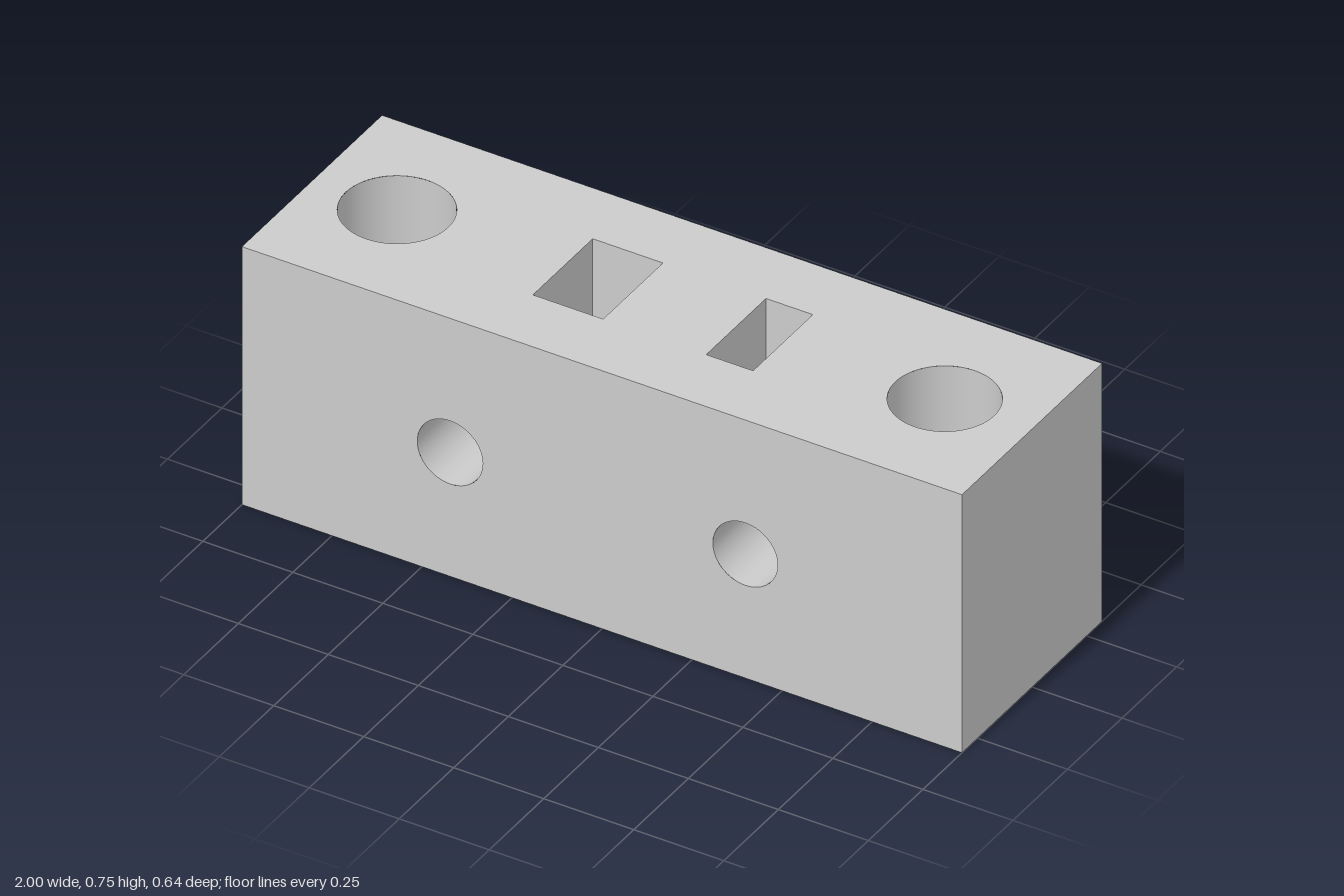
import * as THREE from 'three';

const W = 2, H = 0.745, D = 0.642, SEG = 64;
const material = new THREE.MeshStandardMaterial({ color: 0xcccccc });

function addMesh(group, name, geometry) {
  const mesh = new THREE.Mesh(geometry, material);
  mesh.name = name;
  group.add(mesh);
}

// Reverse the winding of an indexed geometry
function flip(geometry) {
  geometry.index.array.reverse();
  return geometry;
}

function rectangle(PathType, x, y, w, h) {
  return new PathType([[-1, -1], [1, -1], [1, 1], [-1, 1]]
    .map(([a, b]) => new THREE.Vector2(x + a * w / 2, y + b * h / 2)));
}

// Opposite pair of faces (normals +z and -z) joined by the bores through them
function drilledPair(name, height, depth, holes) {
  const group = new THREE.Group();
  group.name = name;
  const shape = rectangle(THREE.Shape, 0, 0, W, height);

  for (const { x, y, r, w, h } of holes) {
    let wall;
    if (r) {
      shape.holes.push(new THREE.Path().absarc(x, y, r, 0, Math.PI * 2, true));
      // Round bore, smooth and facing inwards
      wall = flip(new THREE.CylinderGeometry(r, r, depth, SEG, 1, true));
      wall.attributes.normal.array.forEach((v, i, a) => { a[i] = -v; });
    } else {
      shape.holes.push(rectangle(THREE.Path, x, y, w, h));
      // Square bore, flat sided and facing inwards
      wall = flip(new THREE.CylinderGeometry(Math.SQRT1_2, Math.SQRT1_2, depth, 4, 1, true, Math.PI / 4));
      wall = wall.scale(w, 1, h).toNonIndexed();
      wall.computeVertexNormals();
    }
    addMesh(group, r ? 'roundBore' : 'squareBore', wall.rotateX(Math.PI / 2).translate(x, y, 0));
  }

  const face = new THREE.ShapeGeometry(shape, SEG).translate(0, 0, depth / 2);
  addMesh(group, 'nearFace', face);
  addMesh(group, 'farFace', flip(face.clone().scale(1, 1, -1)));
  return group;
}

export function createModel() {
  const model = new THREE.Group();
  model.name = 'drilledBlock';

  // Front and back faces with the two cross holes
  const y = 0.358 - H / 2;
  const sides = drilledPair('frontAndBack', H, D, [
    { x: -0.422, y, r: 0.091 },
    { x: 0.398, y, r: 0.09 },
  ]);
  sides.position.y = H / 2;
  model.add(sides);

  // Top and bottom faces with two round and two rectangular holes
  const vertical = drilledPair('topAndBottom', D, H, [
    { x: -0.765, y: 0.002, r: 0.142 },
    { x: -0.207, y: 0.002, w: 0.195, h: 0.274 },
    { x: 0.242, y: 0.002, w: 0.13, h: 0.274 },
    { x: 0.757, y: 0.001, r: 0.137 },
  ]);
  vertical.rotation.x = -Math.PI / 2;
  vertical.position.y = H / 2;
  model.add(vertical);

  // Plain ends
  for (const side of [-1, 1]) {
    addMesh(model, side > 0 ? 'leftEnd' : 'rightEnd',
      new THREE.PlaneGeometry(D, H).rotateY(side * Math.PI / 2).translate(side * W / 2, H / 2, 0));
  }
  return model;
}
